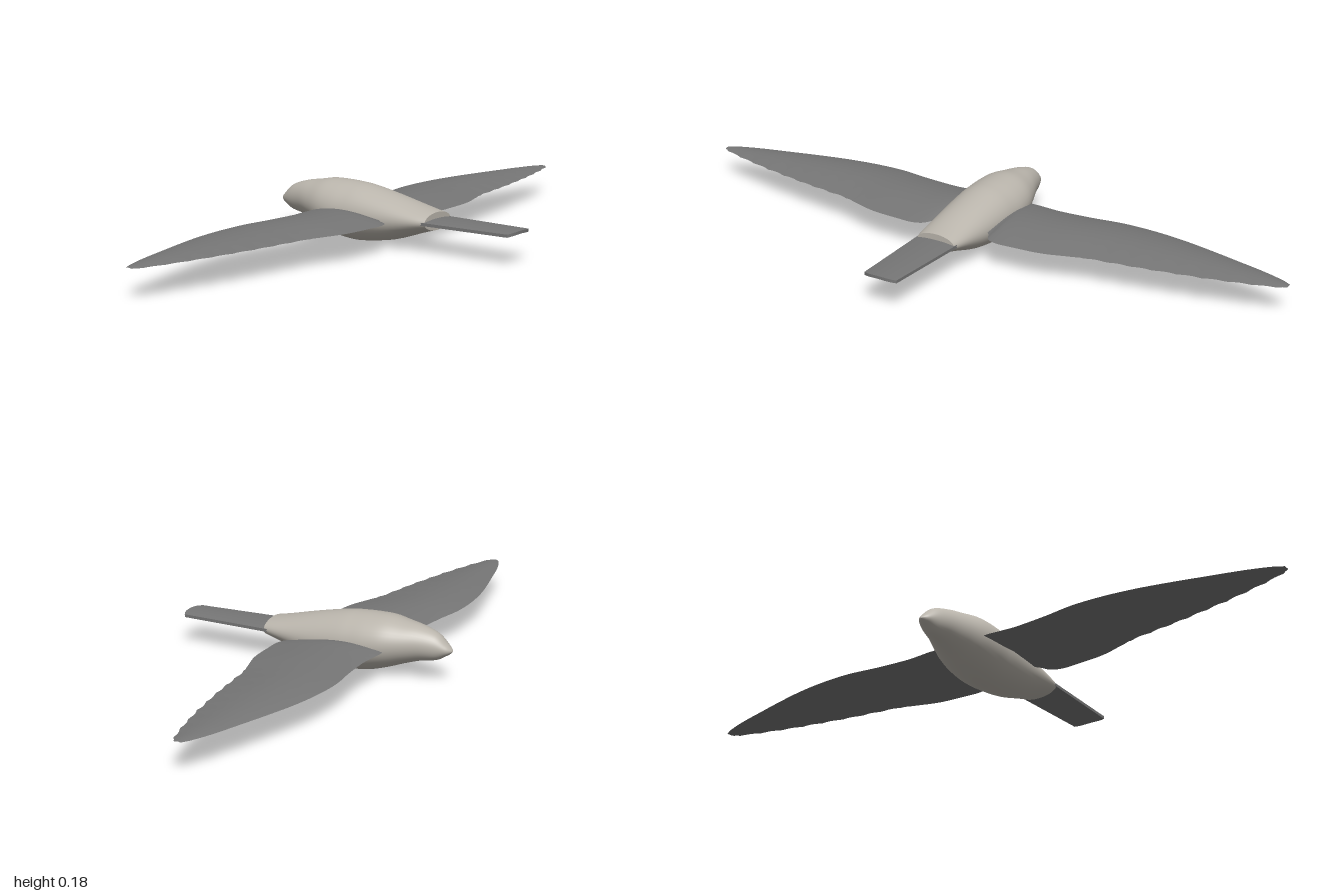
import * as THREE from 'three';

const plumage = new THREE.MeshStandardMaterial({ color: 0xbab5ac });
plumage.name = 'pale body grey';
const feather = new THREE.MeshStandardMaterial({ color: 0x767676 });
feather.name = 'dark feather grey';

// Smooth surface from fn(u, v) -> [x, y, z]; wrap joins the last column to the first.
function surface(fn, nu, nv, wrap = false) {
  const pos = [], index = [], cols = wrap ? nv : nv + 1;
  for (let i = 0; i <= nu; i++) for (let j = 0; j < cols; j++) pos.push(...fn(i / nu, j / nv));
  for (let i = 0; i < nu; i++) for (let j = 0; j < nv; j++) {
    const k = (j + 1) % cols;
    const a = i * cols + j, b = a + cols, c = (i + 1) * cols + k, d = i * cols + k;
    index.push(a, b, d, b, c, d);
  }
  const g = new THREE.BufferGeometry();
  g.setAttribute('position', new THREE.Float32BufferAttribute(pos, 3));
  g.setIndex(index);
  g.computeVertexNormals();
  return g;
}

function add(parent, name, geometry, material) {
  const mesh = new THREE.Mesh(geometry, material);
  mesh.name = name;
  parent.add(mesh);
  return mesh;
}

const spline = (rows) =>
  new THREE.CatmullRomCurve3(rows.map((r) => new THREE.Vector3(...r)), false, 'catmullrom', 0.5);

// Body stations, rump to beak: z, half width, top, bottom
const BODY = [
  [0.147, 0.065, 0.121, 0.067], [0.1, 0.075, 0.131, 0.053], [0, 0.088, 0.155, 0.021],
  [-0.1, 0.096, 0.175, 0.005], [-0.15, 0.098, 0.18, 0.003], [-0.2, 0.098, 0.182, 0.01],
  [-0.25, 0.091, 0.181, 0.024], [-0.3, 0.074, 0.172, 0.042], [-0.35, 0.054, 0.163, 0.057],
  [-0.4, 0.036, 0.146, 0.066], [-0.43, 0.022, 0.12, 0.082], [-0.443, 0.011, 0.107, 0.091],
  [-0.449, 0.001, 0.099, 0.097],
];

// Wing stations, root to tip: x, leading z, trailing z
const WING = [
  [0.03, -0.262, -0.03], [0.09, -0.264, 0], [0.115, -0.264, 0.038], [0.15, -0.261, 0.052],
  [0.2, -0.259, 0.051], [0.3, -0.267, 0.042], [0.4, -0.28, 0.012], [0.5, -0.278, -0.005],
  [0.6, -0.265, -0.02], [0.7, -0.243, -0.039], [0.8, -0.217, -0.06], [0.9, -0.19, -0.086],
  [0.97, -0.165, -0.108], [1, -0.148, -0.128],
];

function buildBody(parent) {
  const width = spline(BODY.map(([z, w]) => [z, w, 0]));
  const height = spline(BODY.map(([z, , t, b]) => [z, t, b]));
  add(parent, 'body', surface((u, v) => {
    const w = width.getPoint(u), h = height.getPoint(u), a = v * Math.PI * 2;
    return [w.y * Math.cos(a), (h.y + h.z) / 2 + (h.y - h.z) / 2 * Math.sin(a), w.x];
  }, 60, 40, true), plumage);

  // Flat end of the rump
  const [z, w, t, b] = BODY[0];
  const rump = add(parent, 'rump', new THREE.CircleGeometry(1, 40), plumage);
  rump.scale.set(w, (t - b) / 2, 1);
  rump.position.set(0, (t + b) / 2, z);
}

function buildWing(name) {
  const wing = new THREE.Group();
  wing.name = name;
  const outline = spline(WING);
  // s runs from 0 at the leading edge to 1 at the trailing edge
  const point = (u, s, upper) => {
    const p = outline.getPoint(u);
    const chord = (p.z - p.y) / 0.3;
    // Small feather scallops on the outer trailing edge
    const scallop = p.x > 0.4 && p.x < 0.99 ? 0.006 * Math.abs(Math.sin(p.x * 45)) : 0;
    const z = p.y + (p.z - scallop - p.y) * s;
    const arch = Math.sin(Math.PI * Math.pow(s, 0.85));
    const y = 0.091 + chord * (upper
      ? 0.02 * arch
      : -0.005 * Math.sin(Math.PI * Math.min(1, s * 2)));
    return [p.x, y, z];
  };
  add(wing, 'wingTop', surface((u, v) => point(u, 1 - v, true), 90, 16), feather);
  add(wing, 'wingUnderside', surface((u, v) => point(u, v, false), 90, 16), feather);
  return wing;
}

function buildTail(parent) {
  // Slightly arched, tapering slab with a rounded end
  const g = new THREE.BoxGeometry(2, 0.009, 1, 12, 1, 8);
  const p = g.attributes.position;
  for (let i = 0; i < p.count; i++) {
    const x = p.getX(i), t = p.getZ(i) + 0.5;
    p.setXYZ(i, x * (0.068 - 0.013 * t),
      0.093 + p.getY(i) + 0.005 * (1 - x * x),
      0.12 + t * (0.325 - 0.012 * Math.pow(Math.abs(x), 3)));
  }
  g.computeVertexNormals();
  add(parent, 'tail', g, feather);
}

export function createModel() {
  const bird = new THREE.Group();
  bird.name = 'bird';
  buildBody(bird);
  buildTail(bird);
  const left = buildWing('leftWing'), right = buildWing('rightWing');
  right.scale.x = -1;
  bird.add(left, right);
  return bird;
}
